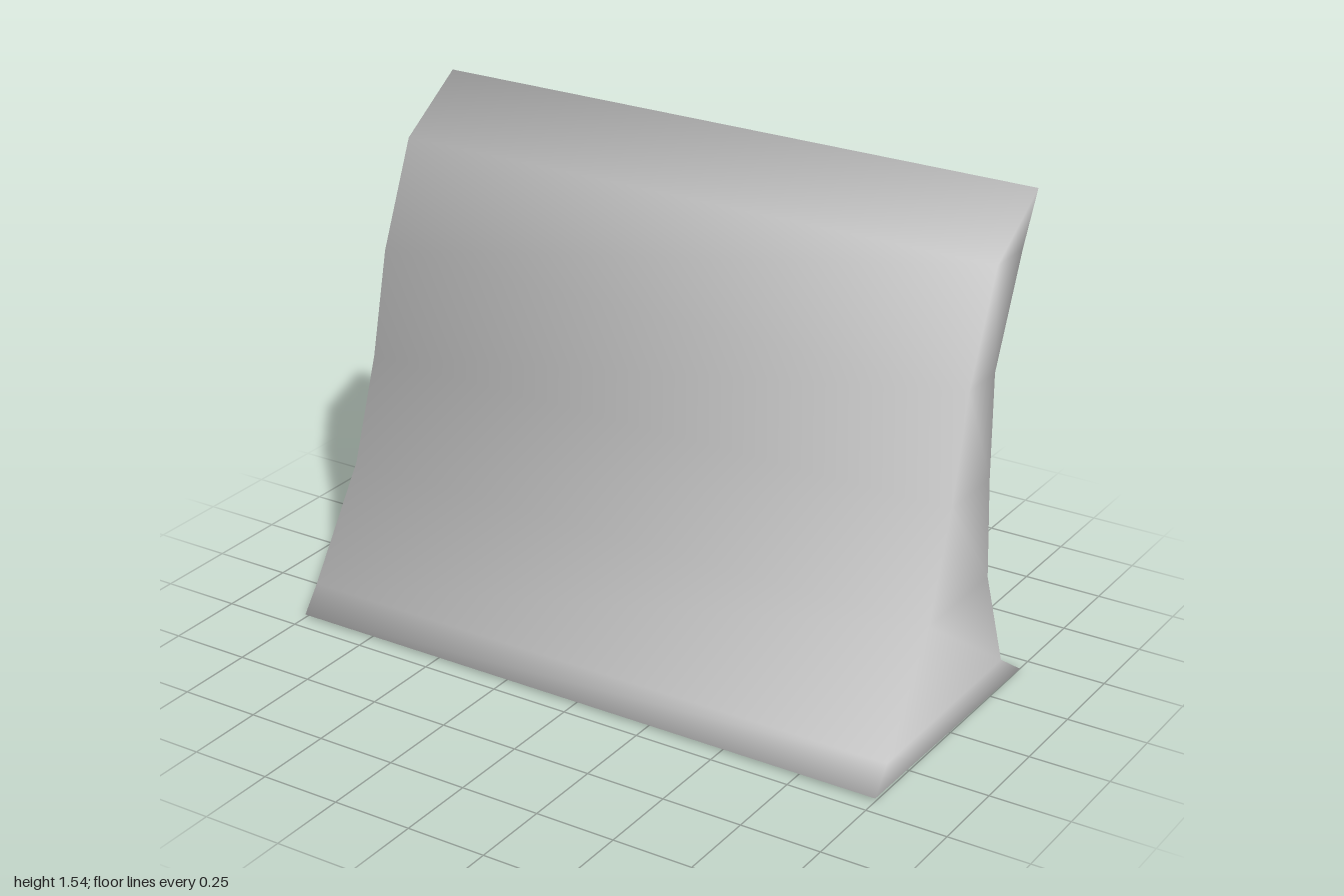
import * as THREE from 'three';

// Cross-section as [y, z] from base to tip: front edge and back edge, level by level
const front = [[0.01, 0.447], [0.09, 0.385], [0.417, 0.165], [0.735, 0.055], [1.06, -0.02], [1.383, -0.158]];
const back = [[0, -0.447], [0.093, -0.312], [0.417, -0.194], [0.735, -0.175], [1.06, -0.175], [1.383, -0.312]];
const tip = [1.537, -0.392];

// Soft normals: average the face normals around each corner, weighted by angle
function softNormals(geometry) {
  const pos = geometry.attributes.position, index = geometry.index.array;
  const normals = Array.from({ length: pos.count }, () => new THREE.Vector3());
  for (let i = 0; i < index.length; i += 3) {
    const ids = [index[i], index[i + 1], index[i + 2]];
    const p = ids.map((k) => new THREE.Vector3().fromBufferAttribute(pos, k));
    const n = new THREE.Triangle(...p).getNormal(new THREE.Vector3());
    ids.forEach((id, k) => {
      const a = p[(k + 1) % 3].clone().sub(p[k]);
      const b = p[(k + 2) % 3].clone().sub(p[k]);
      normals[id].addScaledVector(n, a.angleTo(b));
    });
  }
  const flat = normals.flatMap((n) => n.normalize().toArray());
  geometry.setAttribute('normal', new THREE.Float32BufferAttribute(flat, 3));
}

export function createModel() {
  const group = new THREE.Group();
  group.name = 'curvedBarrier';

  // Closed outline: up the front, over the tip, down the back
  const outline = [...front, tip, ...back.slice().reverse()];
  const n = outline.length;
  const positions = [];
  for (const x of [-1, 1]) for (const [y, z] of outline) positions.push(x, y, z);

  const index = [];
  // Long faces, including the base
  for (let i = 0; i < n; i++) {
    const j = (i + 1) % n;
    index.push(i, i + n, j + n, i, j + n, j);
  }
  // End faces, one strip per level and a triangle at the tip
  const levels = front.length;
  for (let i = 0; i < levels; i++) {
    const f0 = i, f1 = i + 1, b0 = n - 1 - i, b1 = n - 2 - i;
    index.push(f0, f1, b0, f0 + n, b0 + n, f1 + n);
    if (f1 !== b1) index.push(f1, b1, b0, f1 + n, b0 + n, b1 + n);
  }

  const geometry = new THREE.BufferGeometry();
  geometry.setAttribute('position', new THREE.Float32BufferAttribute(positions, 3));
  geometry.setIndex(index);
  softNormals(geometry);

  const lightGrey = new THREE.MeshStandardMaterial({ color: 0xcccccc });
  lightGrey.name = 'lightGrey';
  const wall = new THREE.Mesh(geometry, lightGrey);
  wall.name = 'barrierWall';
  group.add(wall);
  return group;
}
